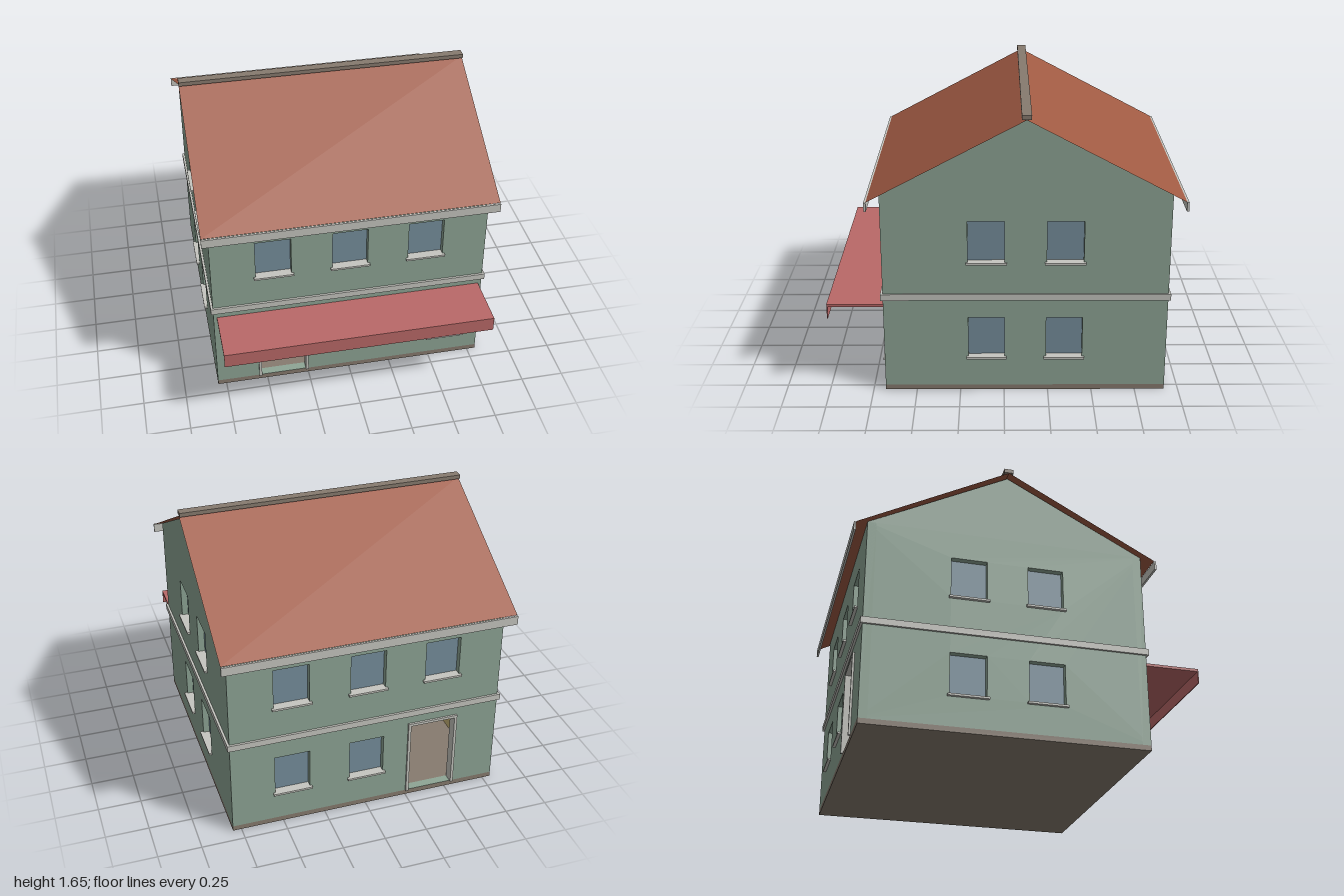
import * as THREE from 'three';

const mat = (name, color, side = THREE.FrontSide) => {
  const m = new THREE.MeshStandardMaterial({ color, side });
  m.name = name;
  return m;
};

export function createModel() {
  const wallGreen = mat('wall green', 0x8ea595);
  const roofRust = mat('roof rust', 0xa05a43, THREE.DoubleSide);
  const glassBlue = mat('glass blue', 0x778f9d);
  const trimGrey = mat('trim grey', 0xc6c6c0);
  const awningRed = mat('awning red', 0xba6968);
  const stoneBrown = mat('stone brown', 0x877b6f);
  const plasterCream = mat('plaster cream', 0xcbb679);

  const model = new THREE.Group();
  model.name = 'house';
  // Everything is laid out around the centre of the square floor plan
  const house = new THREE.Group();
  house.name = 'building';
  house.position.z = -0.12;
  model.add(house);

  const H = 0.8;       // half the plan width
  const T = 0.05;      // wall thickness
  const EAVE = 1.195;
  const BASE = 0.03;

  // Box given by its limits on each axis
  function box(parent, name, m, x0, x1, y0, y1, z0, z1) {
    const mesh = new THREE.Mesh(new THREE.BoxGeometry(x1 - x0, y1 - y0, z1 - z0), m);
    mesh.position.set((x0 + x1) / 2, (y0 + y1) / 2, (z0 + z1) / 2);
    mesh.name = name;
    parent.add(mesh);
    return mesh;
  }

  function rectHole(x0, x1, y0, y1) {
    const p = new THREE.Path();
    p.moveTo(x0, y0);
    p.lineTo(x0, y1);
    p.lineTo(x1, y1);
    p.lineTo(x1, y0);
    p.closePath();
    return p;
  }

  // One side of the house: wall with openings, glass, sills, door frame and band
  function facade(name, angle, gable, windows, doorX) {
    const g = new THREE.Group();
    g.name = name;
    g.rotation.y = angle;
    house.add(g);

    const pts = [[-H, BASE], [H, BASE], [H, EAVE]];
    if (gable) pts.push([0, 1.61]);
    pts.push([-H, EAVE]);
    const shape = new THREE.Shape(pts.map(([x, y]) => new THREE.Vector2(x, y)));

    const w = 0.1025;
    for (const [x, y0, y1] of windows) {
      shape.holes.push(rectHole(x - w, x + w, y0, y1));
      box(g, 'windowGlass', glassBlue, x - w, x + w, y0, y1, H - 0.045, H - 0.037);
      box(g, 'windowSill', trimGrey, x - w - 0.012, x + w + 0.012, y0 - 0.008, y0 + 0.004, H - 0.036, H + 0.018);
    }

    if (doorX !== undefined) {
      const top = 0.512, d = 0.15, f = 0.016;
      shape.holes.push(rectHole(doorX - d + 0.004, doorX + d - 0.004, BASE + 0.001, top - 0.004));
      for (const s of [-1, 1]) {
        const a = doorX + s * d, b = doorX + s * (d - f);
        box(g, 'doorJamb', trimGrey, Math.min(a, b), Math.max(a, b), BASE, top, H - T, H + 0.012);
      }
      box(g, 'doorHead', trimGrey, doorX - d + f, doorX + d - f, top - f, top, H - T, H + 0.012);
    }

    const wall = new THREE.Mesh(
      new THREE.ExtrudeGeometry(shape, { depth: T, bevelEnabled: false }), wallGreen);
    wall.name = 'wall';
    wall.position.z = H - T;
    g.add(wall);

    box(g, 'floorBand', trimGrey, -H - 0.013, H + 0.013, 0.567, 0.604, H, H + 0.013);
  }

  const upper = (x) => [x, 0.79, 1.035];
  const lower = (x) => [x, 0.208, 0.455];
  const upperRow = [-0.4425, 0, 0.4425].map(upper);
  const sideWindows = [-0.22, 0.22].flatMap((x) => [upper(x), lower(x)]);

  facade('frontSide', 0, false, [...upperRow, lower(0), [0.593, 0.148, 0.455]], -0.4);
  facade('backSide', Math.PI, false, [...upperRow, lower(0), lower(-0.4425)], 0.4);
  facade('leftSide', Math.PI / 2, true, sideWindows);
  facade('rightSide', -Math.PI / 2, true, sideWindows);

  // Ground slab and storey ceiling
  box(house, 'groundSlab', stoneBrown, -H, H, 0, BASE, -H, H);
  const inner = H - T;
  box(house, 'ceiling', stoneBrown, -inner, inner, 0.565, 0.595, -inner, inner);

  // Interior lining and a cross wall with a doorway
  for (const s of [-1, 1]) {
    const x = s * (inner - 0.004);
    box(house, 'innerLining', plasterCream, x - 0.003, x + 0.003, BASE, 0.565, -inner, inner);
  }
  const partition = [[-0.74, -0.505, BASE], [-0.305, 0.74, BASE], [-0.505, -0.305, 0.47]];
  for (const [x0, x1, y0] of partition) {
    box(house, 'innerPartition', glassBlue, x0, x1, y0, 0.565, -0.15, -0.12);
  }

  // Thin roof slopes with fascia boards and a ridge cap
  const RX = 0.843, RZ = 0.868, RIDGE = 1.622, LOW = 1.162;
  for (const s of [-1, 1]) {
    const run = Math.hypot(RZ, RIDGE - LOW);
    const geo = new THREE.PlaneGeometry(RX * 2, run);
    geo.rotateX(-Math.PI / 2);
    const slope = new THREE.Mesh(geo, roofRust);
    slope.name = 'roofSlope';
    slope.rotation.x = s * Math.atan2(RIDGE - LOW, RZ);
    slope.position.set(0, (RIDGE + LOW) / 2, s * RZ / 2);
    house.add(slope);
    const z = s * 0.874;
    box(house, 'fasciaBoard', trimGrey, -RX, RX, 1.108, 1.16, z - 0.006, z + 0.006);
  }
  box(house, 'ridgeCap', stoneBrown, -RX, RX, 1.624, 1.648, -0.027, 0.027);

  // Flat awning with a hanging front edge
  const awning = new THREE.Group();
  awning.name = 'awning';
  house.add(awning);
  box(awning, 'awningTop', awningRed, -0.78, 0.78, 0.514, 0.53, H, 1.115);
  box(awning, 'awningValance', awningRed, -0.78, 0.78, 0.443, 0.53, 1.115, 1.12);

  return model;
}
